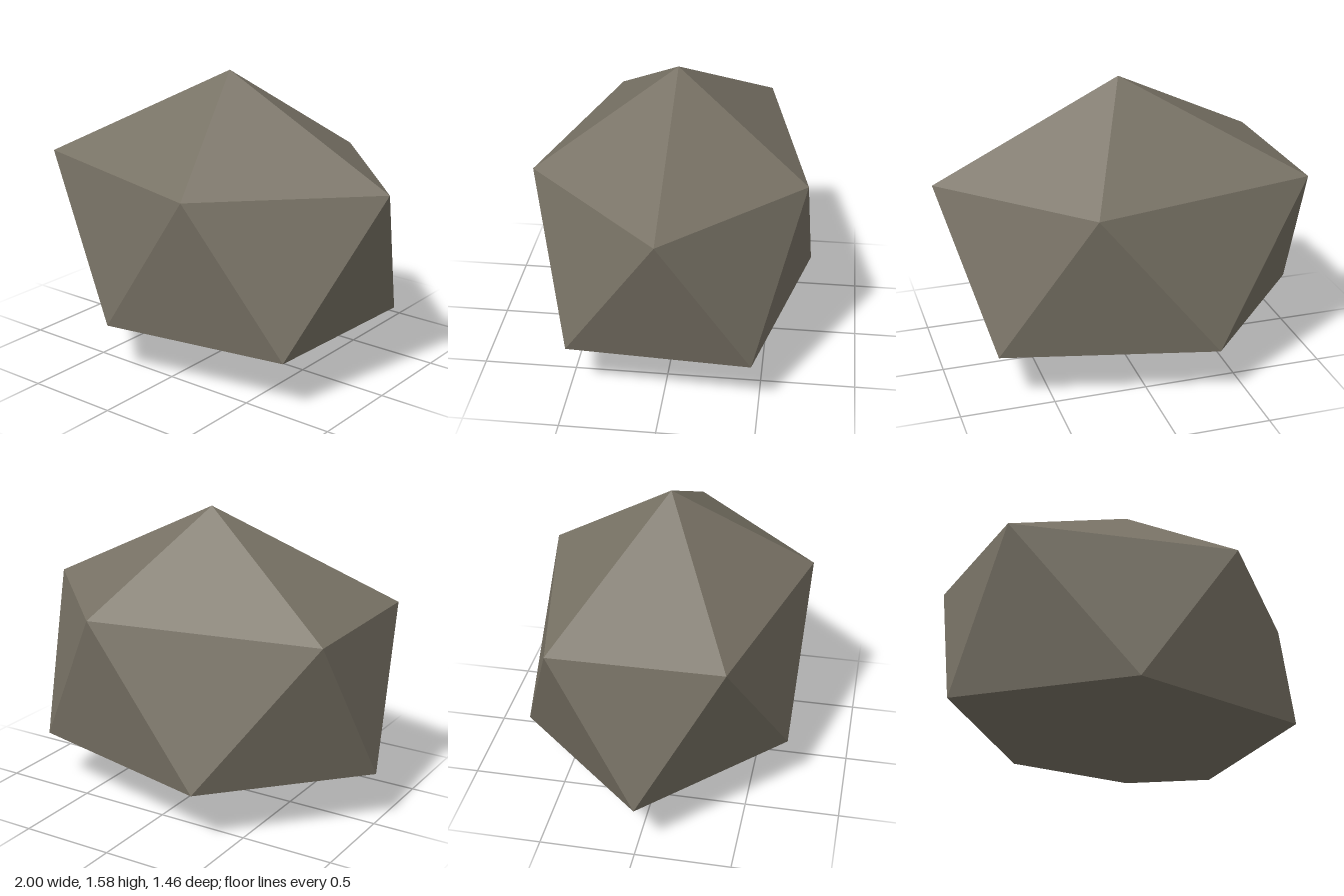
import * as THREE from 'three';

export function createModel() {
  const stone = new THREE.MeshStandardMaterial({ color: 0x787265, flatShading: true });
  stone.name = 'stone';

  // Two staggered five-sided rings as [x, z], counterclockwise from above
  const ring = (y, pts) => pts.map(([x, z]) => [x, y, z]);
  const upper = ring(1.085, [[1, 0], [0.31, -0.7], [-0.9, -0.45], [-0.89, 0.435], [0.27, 0.73]]);
  const lower = ring(0.285, [[0.78, -0.46], [-0.33, -0.73], [-1, 0], [-0.28, 0.69], [0.73, 0.505]]);
  const top = [0, 1.58, 0];
  const bottom = [0, 0, 0];

  // Cap, zigzag side band and base, one facet group per ring step
  const corners = [];
  for (let i = 0; i < 5; i++) {
    const j = (i + 1) % 5;
    corners.push(
      top, upper[i], upper[j],
      upper[i], lower[i], upper[j],
      lower[i], lower[j], upper[j],
      bottom, lower[j], lower[i]
    );
  }
  const geometry = new THREE.BufferGeometry();
  geometry.setAttribute('position', new THREE.Float32BufferAttribute(corners.flat(), 3));
  geometry.computeVertexNormals();

  const rock = new THREE.Mesh(geometry, stone);
  rock.name = 'rock';
  const group = new THREE.Group();
  group.name = 'boulder';
  group.add(rock);
  return group;
}
